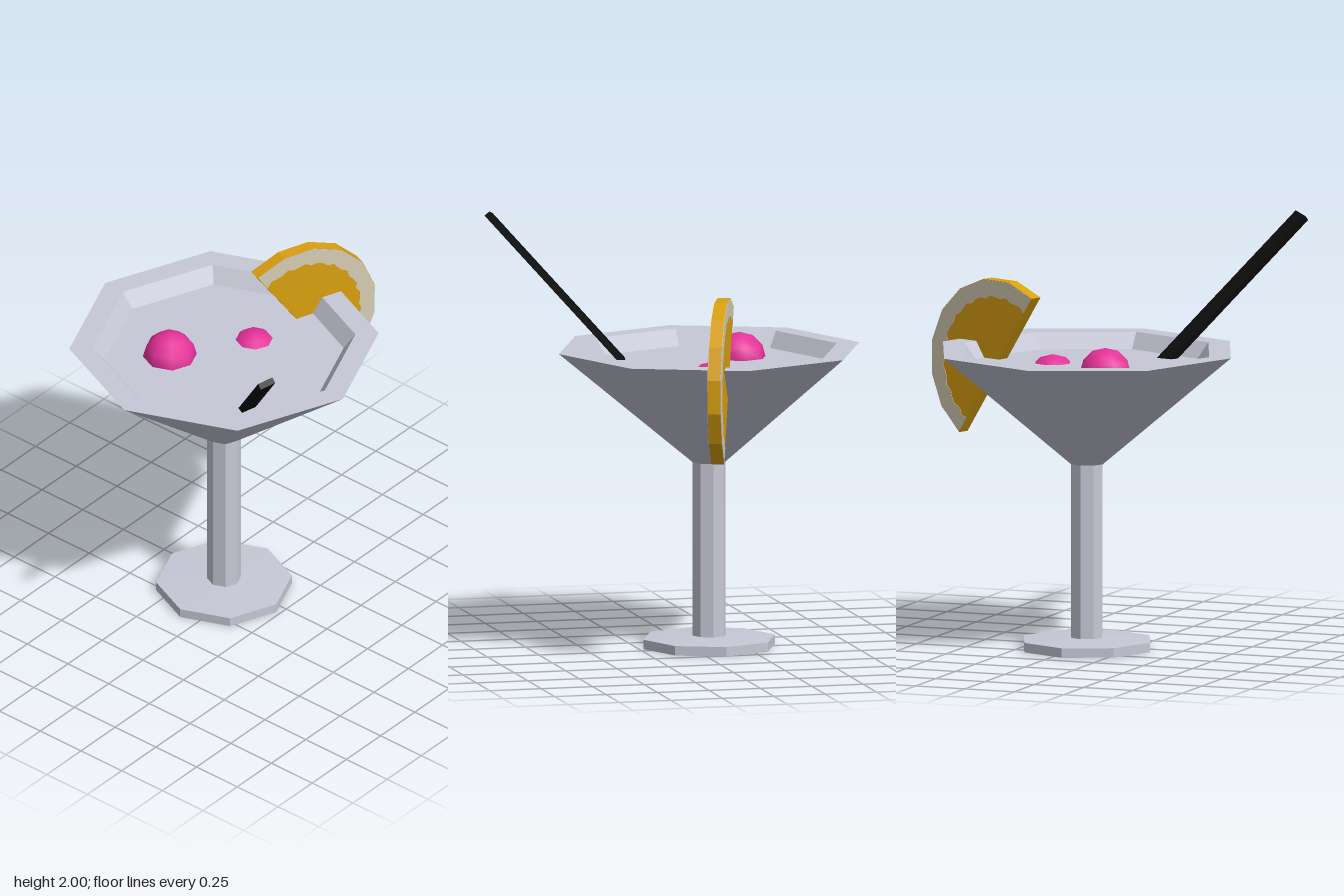
import * as THREE from 'three';

const mat = (name, color) => {
  const m = new THREE.MeshStandardMaterial({ color });
  m.name = name;
  return m;
};

// Split shared vertices so every face has its own flat normal
function faceted(geometry) {
  const g = geometry.toNonIndexed();
  g.computeVertexNormals();
  return g;
}

export function createModel() {
  const glass = mat('pale glass', 0xc6c8d6);
  const orange = mat('orange flesh and rind', 0xd9a010);
  const pith = mat('cream pith', 0xd6ccb4);
  const pink = mat('pink cherry', 0xe6329a);
  const black = mat('black straw', 0x0c0c0c);

  const model = new THREE.Group();
  model.name = 'cocktail';
  const add = (name, geometry, material, parent = model) => {
    const mesh = new THREE.Mesh(geometry, material);
    mesh.name = name;
    parent.add(mesh);
    return mesh;
  };

  // Eight-sided glass, turned around its own axis
  const glassGroup = new THREE.Group();
  glassGroup.name = 'glass';
  glassGroup.position.set(-0.05, 0, -0.09);
  model.add(glassGroup);
  const profiles = {
    base: [[0, 0], [0.32, 0], [0.32, 0.045], [0.08, 0.055]],
    stem: [[0.08, 0.055], [0.08, 0.88]],
    bowl: [[0.08, 0.88], [0.73, 1.42], [0.62, 1.42], [0.565, 1.345]],
    drinkSurface: [[0.565, 1.345], [0, 1.345]],
  };
  for (const [name, points] of Object.entries(profiles)) {
    const profile = points.map(([r, y]) => new THREE.Vector2(r, y));
    add(name, faceted(new THREE.LatheGeometry(profile, 8)), glass, glassGroup);
  }

  // Two cherries, partly sunk in the drink
  for (const [x, y, z] of [[-0.22, 1.335, -0.28], [0.135, 1.255, -0.06]]) {
    add('cherry', new THREE.SphereGeometry(0.13, 8, 6), pink).position.set(x, y, z);
  }

  // Flat straw leaning out over the rim
  const along = new THREE.Vector3(-0.745, 1, 0.816).normalize();
  const across = new THREE.Vector3(0.863, 0.249, 0.442);
  across.addScaledVector(along, -across.dot(along)).normalize();
  const thick = new THREE.Vector3().crossVectors(across, along);
  const length = 1.08;
  const straw = add('straw', new THREE.BoxGeometry(0.075, length, 0.03), black);
  straw.quaternion.setFromRotationMatrix(new THREE.Matrix4().makeBasis(across, along, thick));
  straw.position.set(-0.785, 1.98, 0.79).addScaledVector(along, -length / 2);

  // Half slice of orange slotted over the rim
  const slice = new THREE.Group();
  slice.name = 'orangeSlice';
  slice.position.set(0.415, 1.315, -0.033);
  slice.rotation.y = -0.352;
  model.add(slice);

  const tilt = 0.597;
  const arc = (steps, radiusAt, spread = Math.PI / 2) =>
    Array.from({ length: steps + 1 }, (_, i) => {
      const a = tilt + spread * ((2 * i) / steps - 1);
      const r = radiusAt(i);
      return new THREE.Vector2(r * Math.cos(a), r * Math.sin(a));
    });
  const slab = (points, depth) =>
    new THREE.ExtrudeGeometry(new THREE.Shape(points), { depth, bevelEnabled: false })
      .translate(0, 0, -depth / 2);

  add('wedge', slab(arc(8, () => 0.411), 0.06), orange, slice);

  // Pith band with a slightly ragged inner edge, just proud of both faces
  const outer = arc(8, () => 0.409, Math.PI / 2 - 0.008);
  const inner = arc(32, (i) => 0.325 + 0.008 * Math.sin(i * 2.3), Math.PI / 2 - 0.008);
  add('pithBand', slab([...outer, ...inner.reverse()], 0.064), pith, slice);

  return model;
}
